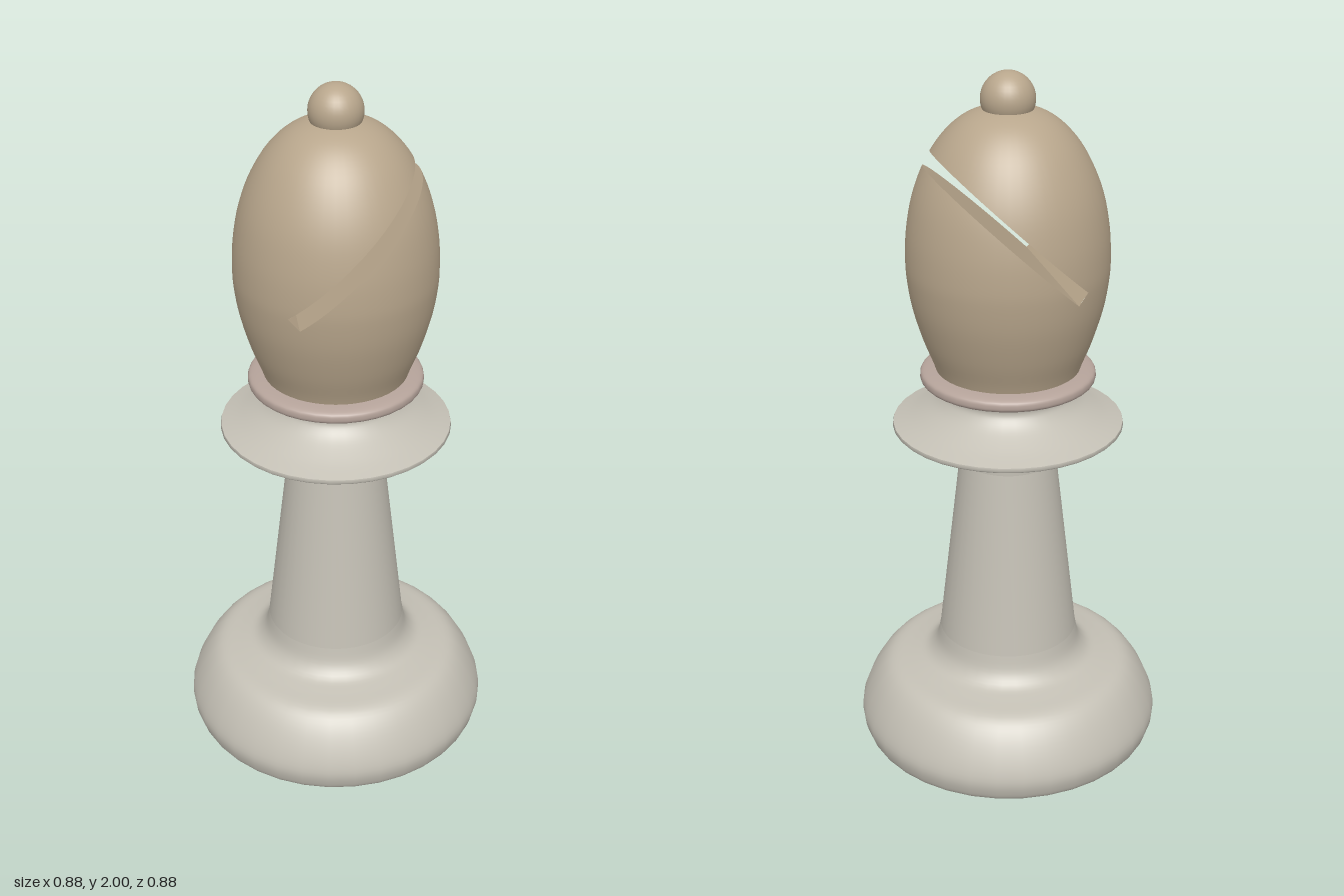
import * as THREE from 'three';
import { mergeGeometries } from 'three/addons/utils/BufferGeometryUtils.js';

const stone = new THREE.MeshStandardMaterial({ color: 0xc4c0b5 });
const tan = new THREE.MeshStandardMaterial({ color: 0xb8a68c });
const tanInside = new THREE.MeshStandardMaterial({ color: 0xb8a68c, side: THREE.DoubleSide });
const rose = new THREE.MeshStandardMaterial({ color: 0xb5a39a });

const vec = ([x, y]) => new THREE.Vector2(x, y);
const smooth = (pts, n) => new THREE.SplineCurve(pts.map(vec)).getPoints(n);

function addMesh(parent, name, geometry, material) {
  const mesh = new THREE.Mesh(geometry, material);
  mesh.name = name;
  parent.add(mesh);
  return mesh;
}

// Head outline: radius against height
const HEAD = smooth([[0.195, 1.16], [0.208, 1.2], [0.235, 1.27], [0.261, 1.36], [0.274, 1.44], [0.277, 1.5],
  [0.272, 1.58], [0.255, 1.67], [0.225, 1.75], [0.183, 1.82], [0.13, 1.872], [0.07, 1.9], [0, 1.91]], 48);
HEAD[HEAD.length - 1].x = 0;

function headRadius(y) {
  for (let i = 1; i < HEAD.length; i++) {
    const a = HEAD[i - 1], b = HEAD[i];
    if (y <= b.y) return a.x + (b.x - a.x) * (y - a.y) / (b.y - a.y);
  }
  return 0;
}

// Slot frame: u runs up along the slot from its closed end, v across it
const SLOT = { x: -0.138, y: 1.444, c: Math.cos(0.752), s: Math.sin(0.752), half: 0.021 };
const slotU = p => (p.x - SLOT.x) * SLOT.c + (p.y - SLOT.y) * SLOT.s;
const slotV = p => (p.y - SLOT.y) * SLOT.c - (p.x - SLOT.x) * SLOT.s;
const slotPoint = (u, v) => [SLOT.x + u * SLOT.c - v * SLOT.s, SLOT.y + u * SLOT.s + v * SLOT.c];

// Keep the part of a polygon where f >= 0
function clip(poly, f) {
  const out = [];
  poly.forEach((a, i) => {
    const b = poly[(i + 1) % poly.length], fa = f(a.p), fb = f(b.p);
    if (fa >= 0) out.push(a);
    if ((fa >= 0) !== (fb >= 0)) {
      const t = fa / (fa - fb);
      out.push({ p: a.p.clone().lerp(b.p, t), n: a.n.clone().lerp(b.n, t).normalize() });
    }
  });
  return out;
}

// Head skin with the slot cut out of it
function headSkin() {
  const src = new THREE.LatheGeometry(HEAD, 48).toNonIndexed();
  const { position, normal } = src.attributes;
  const pos = [], nor = [], w = SLOT.half;
  const regions = [
    [p => slotV(p) - w],
    [p => -w - slotV(p)],
    [p => w - slotV(p), p => slotV(p) + w, p => -slotU(p)],
  ];
  for (let i = 0; i < position.count; i += 3) {
    const tri = [0, 1, 2].map(k => ({
      p: new THREE.Vector3().fromBufferAttribute(position, i + k),
      n: new THREE.Vector3().fromBufferAttribute(normal, i + k),
    }));
    for (const region of regions) {
      const poly = region.reduce(clip, tri);
      for (let k = 2; k < poly.length; k++) {
        for (const q of [poly[0], poly[k - 1], poly[k]]) {
          pos.push(...q.p.toArray());
          nor.push(...q.n.toArray());
        }
      }
    }
  }
  const g = new THREE.BufferGeometry();
  g.setAttribute('position', new THREE.Float32BufferAttribute(pos, 3));
  g.setAttribute('normal', new THREE.Float32BufferAttribute(nor, 3));
  return g;
}

// Flat wall spanning the head from back to front along a line of (u, v)
function slotWall(line) {
  const pos = [], index = [];
  line.forEach(([u, v], i) => {
    const [x, y] = slotPoint(u, v);
    const z = Math.sqrt(Math.max(0, headRadius(y) ** 2 - x * x));
    pos.push(x, y, -z, x, y, z);
    const k = 2 * i;
    if (i) index.push(k - 2, k - 1, k, k - 1, k + 1, k);
  });
  const g = new THREE.BufferGeometry();
  g.setAttribute('position', new THREE.Float32BufferAttribute(pos, 3));
  g.setIndex(index);
  g.computeVertexNormals();
  return g;
}

// Where the slot leaves the head
function slotLength(v) {
  let lo = 0.2, hi = 0.8;
  for (let i = 0; i < 40; i++) {
    const mid = (lo + hi) / 2, [x, y] = slotPoint(mid, v);
    if (headRadius(y) > x) lo = mid; else hi = mid;
  }
  return lo;
}

function slotWalls() {
  const w = SLOT.half, n = 40;
  const sides = [-w, w].map(v => {
    const len = slotLength(v);
    return slotWall(Array.from({ length: n + 1 }, (_, i) => [len * Math.sin(i / n * Math.PI / 2), v]));
  });
  return mergeGeometries([...sides, slotWall([[0, -w], [0, w]])]);
}

export function createModel() {
  const model = new THREE.Group();
  model.name = 'chessBishop';
  const turned = (name, pts, n, material = stone) =>
    addMesh(model, name, new THREE.LatheGeometry(n ? smooth(pts, n) : pts.map(vec), 36), material);

  // Foot and stem
  turned('underside', [[0, 0.005], [0.38, 0.005]], 0);
  turned('foot', [[0.38, 0.005], [0.418, 0.014], [0.434, 0.04], [0.44, 0.085], [0.42, 0.145], [0.385, 0.205],
    [0.345, 0.24], [0.285, 0.253], [0.24, 0.266], [0.212, 0.3], [0.2, 0.35]], 40);
  turned('stem', [[0.2, 0.35], [0.137, 0.9]], 0);

  // Flared disc below the head
  turned('discUnderside', [[0.137, 0.9], [0.14, 0.93], [0.16, 0.96], [0.2, 0.985], [0.25, 0.998], [0.318, 1.002]], 24);
  turned('discRim', [[0.318, 1.002], [0.324, 1.008], [0.322, 1.017]], 0);
  turned('discTop', [[0.322, 1.017], [0.27, 1.036], [0.215, 1.065], [0.188, 1.09], [0.18, 1.112], [0.19, 1.14]], 24);

  // Collar ring
  turned('collar', [[0.18, 1.14], [0.225, 1.139], [0.241, 1.145], [0.244, 1.157], [0.24, 1.169],
    [0.222, 1.176], [0.19, 1.18]], 20, rose);

  // Head with its slanted slot, and the ball on top
  const head = new THREE.Group();
  head.name = 'head';
  model.add(head);
  addMesh(head, 'headShell', headSkin(), tan);
  addMesh(head, 'slotWalls', slotWalls(), tanInside);
  addMesh(head, 'topBall', new THREE.SphereGeometry(0.073, 32, 20), tan).position.y = 1.927;

  model.position.y = 0;
  return model;
}
